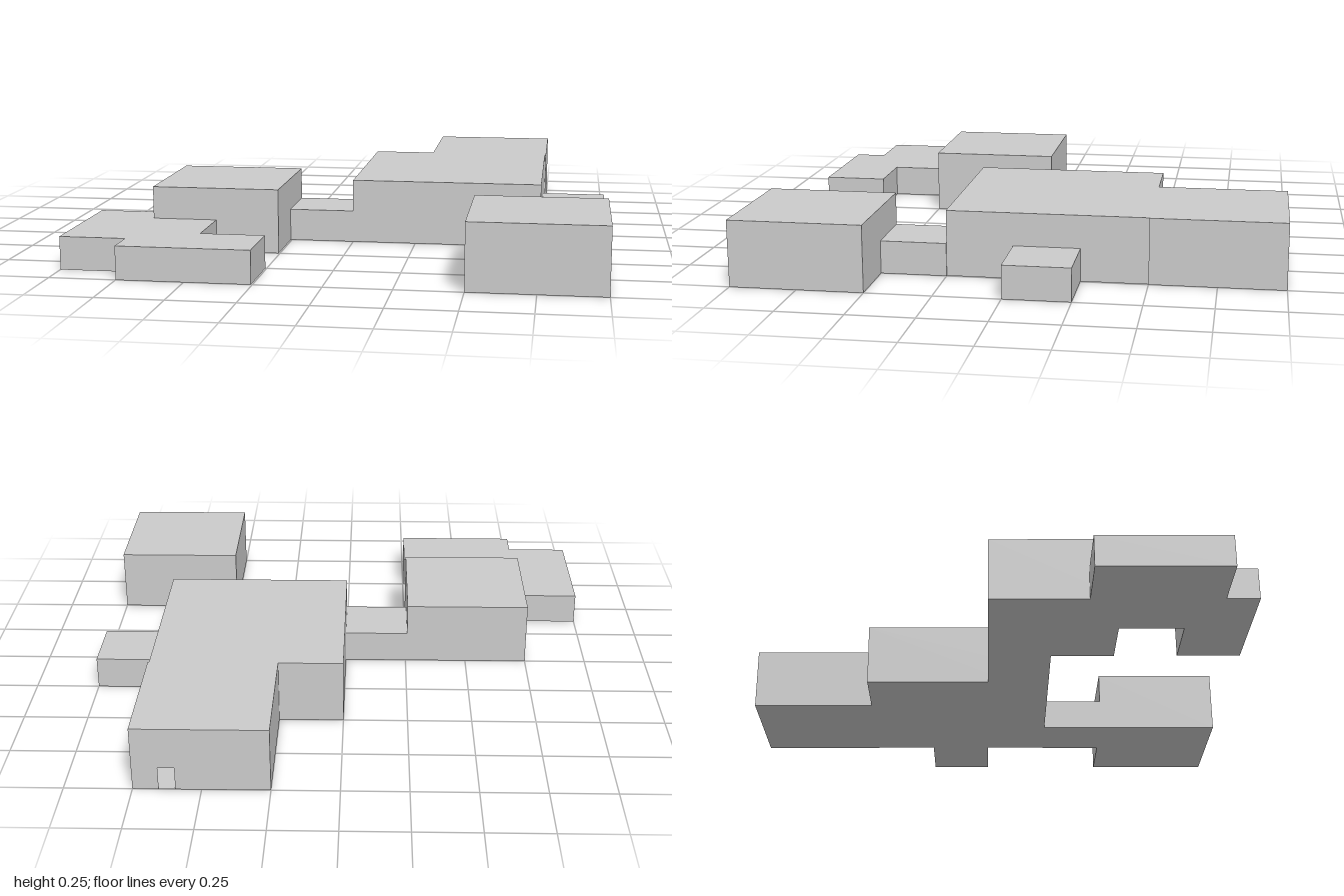
import * as THREE from 'three';

const DOOR_W = 0.06, DOOR_H = 0.09;
const material = new THREE.MeshStandardMaterial({ color: 0xcccccc, flatShading: true, side: THREE.DoubleSide });

// Thin upright wall running from a to b, with doorways cut up from the ground
function wallGeometry(a, b, height, doors) {
  const s = new THREE.Shape();
  s.moveTo(a, 0);
  for (const d of [...doors].sort((p, q) => p - q)) {
    s.lineTo(d - DOOR_W / 2, 0);
    s.lineTo(d - DOOR_W / 2, DOOR_H);
    s.lineTo(d + DOOR_W / 2, DOOR_H);
    s.lineTo(d + DOOR_W / 2, 0);
  }
  s.lineTo(b, 0);
  s.lineTo(b, height);
  s.lineTo(a, height);
  s.closePath();
  return new THREE.ShapeGeometry(s);
}

// Hollow room: floor, roof and four walls; doors lists doorway centres per wall
function room(name, x0, x1, z0, z1, height, doors = {}) {
  const g = new THREE.Group();
  g.name = name;
  const add = (part, geometry) => {
    const m = new THREE.Mesh(geometry, material);
    m.name = part;
    g.add(m);
  };
  const slab = (y, up) => new THREE.PlaneGeometry(x1 - x0, z1 - z0)
    .rotateX(up ? -Math.PI / 2 : Math.PI / 2)
    .translate((x0 + x1) / 2, y, (z0 + z1) / 2);
  add('floor', slab(0, false));
  add('roof', slab(height, true));

  add('frontWall', wallGeometry(x0, x1, height, doors.front ?? []).translate(0, 0, z1));
  add('backWall', wallGeometry(-x1, -x0, height, (doors.back ?? []).map(d => -d))
    .rotateY(Math.PI).translate(0, 0, z0));
  add('leftWall', wallGeometry(-z1, -z0, height, (doors.left ?? []).map(d => -d))
    .rotateY(Math.PI / 2).translate(x1, 0, 0));
  add('rightWall', wallGeometry(z0, z1, height, doors.right ?? [])
    .rotateY(-Math.PI / 2).translate(x0, 0, 0));
  return g;
}

export function createModel() {
  const model = new THREE.Group();
  model.name = 'roomComplex';
  const TALL = 0.25, LOW = 0.125;

  model.add(
    // Main hall and the wing behind it
    room('mainHall', 0, 0.745, -0.5, 0.25, TALL,
      { front: [0.625], back: [0.625], left: [-0.125], right: [0.125] }),
    room('backWing', 0.25, 0.75, -1, -0.5, TALL, { front: [0.625], back: [0.625] }),
    // Low side entrance
    room('sideEntrance', 0.745, 1, -0.25, 0, LOW, { front: [0.875], right: [-0.125] }),
    // Passage to the front chamber
    room('frontPassage', 0.5, 0.75, 0.25, 0.5, LOW, { front: [0.625], back: [0.625] }),
    room('frontChamber', 0.5, 1, 0.5, 1, TALL, { back: [0.625] }),
    // Passage to the side chamber
    room('sidePassage', -0.255, 0, 0, 0.25, LOW, { left: [0.125], right: [0.125] }),
    room('sideChamber', -0.75, -0.255, 0, 0.5, TALL, { left: [0.125], front: [-0.625] }),
    // Low overlapping outer rooms
    room('outerRoom', -1, -0.5, 0.375, 0.875, LOW),
    room('outerAnnex', -0.75, -0.255, 0.75, 1, LOW),
  );
  return model;
}
